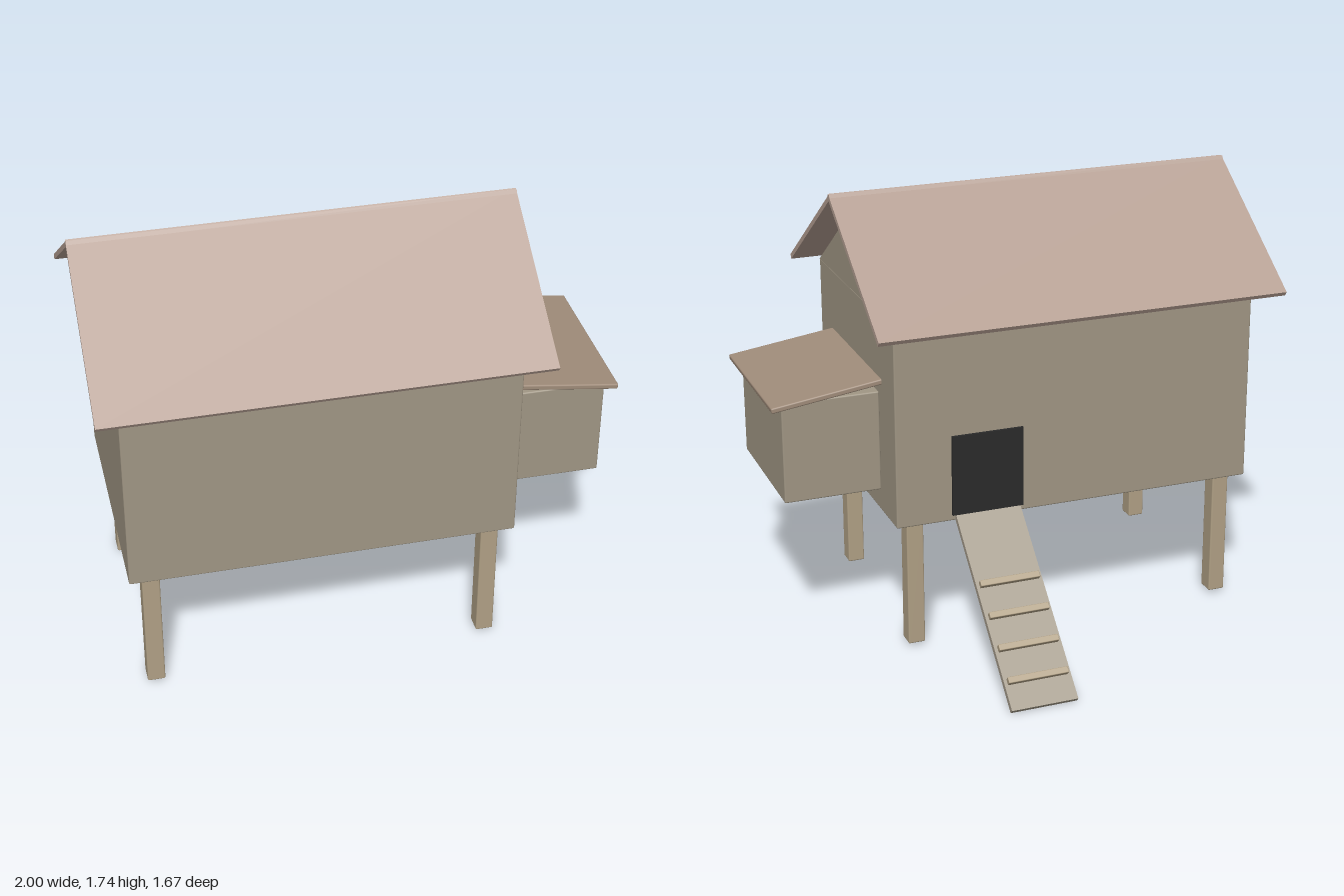
import * as THREE from 'three';
import { RoundedBoxGeometry } from 'three/addons/geometries/RoundedBoxGeometry.js';

const mat = (color) => new THREE.MeshStandardMaterial({ color, roughness: 0.9 });

export function createModel() {
  const model = new THREE.Group();
  model.name = 'henHouse';
  const wall = mat(0xa09684), roofing = mat(0xb59f93), timber = mat(0xb0a085);
  const plank = mat(0xa39a8a), lidWood = mat(0xa08c7a), dark = mat(0x2a2a2a);
  const midZ = 0.245; // ridge line and centre of the house

  const add = (parent, name, geometry, material, x, y, z) => {
    const mesh = new THREE.Mesh(geometry, material);
    mesh.name = name;
    mesh.position.set(x, y, z);
    parent.add(mesh);
    return mesh;
  };
  const box = (w, h, d) => new THREE.BoxGeometry(w, h, d);
  const softBox = (w, h, d, r = 0.006) => new RoundedBoxGeometry(w, h, d, 2, r);

  // Main house
  add(model, 'houseBody', softBox(1.475, 0.805, 0.956), wall, -0.172, 0.9375, midZ);

  // Triangular gable block under the roof
  const tri = new THREE.Shape();
  tri.moveTo(-0.478, 0);
  tri.lineTo(0.478, 0);
  tri.lineTo(0, 0.33);
  tri.closePath();
  const gableGeometry = new THREE.ExtrudeGeometry(tri, { depth: 1.475, bevelEnabled: false });
  gableGeometry.translate(0, 0, -1.475 / 2);
  const gable = add(model, 'gable', gableGeometry, wall, -0.172, 1.338, midZ);
  gable.rotation.y = Math.PI / 2;

  // Two roof panels crossing slightly at the ridge
  const pitch = Math.atan2(0.397, 0.588);
  for (const side of [1, -1]) {
    const slope = new THREE.Group();
    slope.name = side > 0 ? 'frontRoof' : 'backRoof';
    slope.position.set(-0.172, 1.722, midZ);
    slope.rotation.x = side * pitch;
    add(slope, 'roofPanel', box(1.657, 0.02, 0.722), roofing, 0, 0, side * 0.348);
    model.add(slope);
  }

  // Four legs
  for (const x of [-0.825, 0.48]) {
    for (const z of [0.648, -0.156]) {
      add(model, 'leg', softBox(0.068, 0.53, 0.072), timber, x, 0.28, z);
    }
  }

  // Nest box on the left end, with a sloping lid
  add(model, 'nestBox', softBox(0.385, 0.405, 0.59), wall, 0.7575, 0.8275, 0.25);
  const lid = add(model, 'nestLid', softBox(0.44, 0.022, 0.65), lidWood, 0.778, 1.05, 0.245);
  lid.rotation.z = -Math.atan2(0.06, 0.43);

  // Dark doorway on the back wall
  add(model, 'door', box(0.29, 0.325, 0.02), dark, 0.198, 0.722, -0.234);

  // Ramp with cross cleats
  const ramp = new THREE.Group();
  ramp.name = 'ramp';
  ramp.position.set(0.198, 0.281, -0.5325);
  ramp.rotation.x = -0.74;
  add(ramp, 'rampBoard', box(0.265, 0.022, 0.803), plank, 0, 0, 0);
  for (let i = 0; i < 4; i++) {
    add(ramp, 'cleat', softBox(0.24, 0.024, 0.025, 0.003), timber, 0, 0.021, 0.104 - i * 0.131);
  }
  model.add(ramp);

  return model;
}
